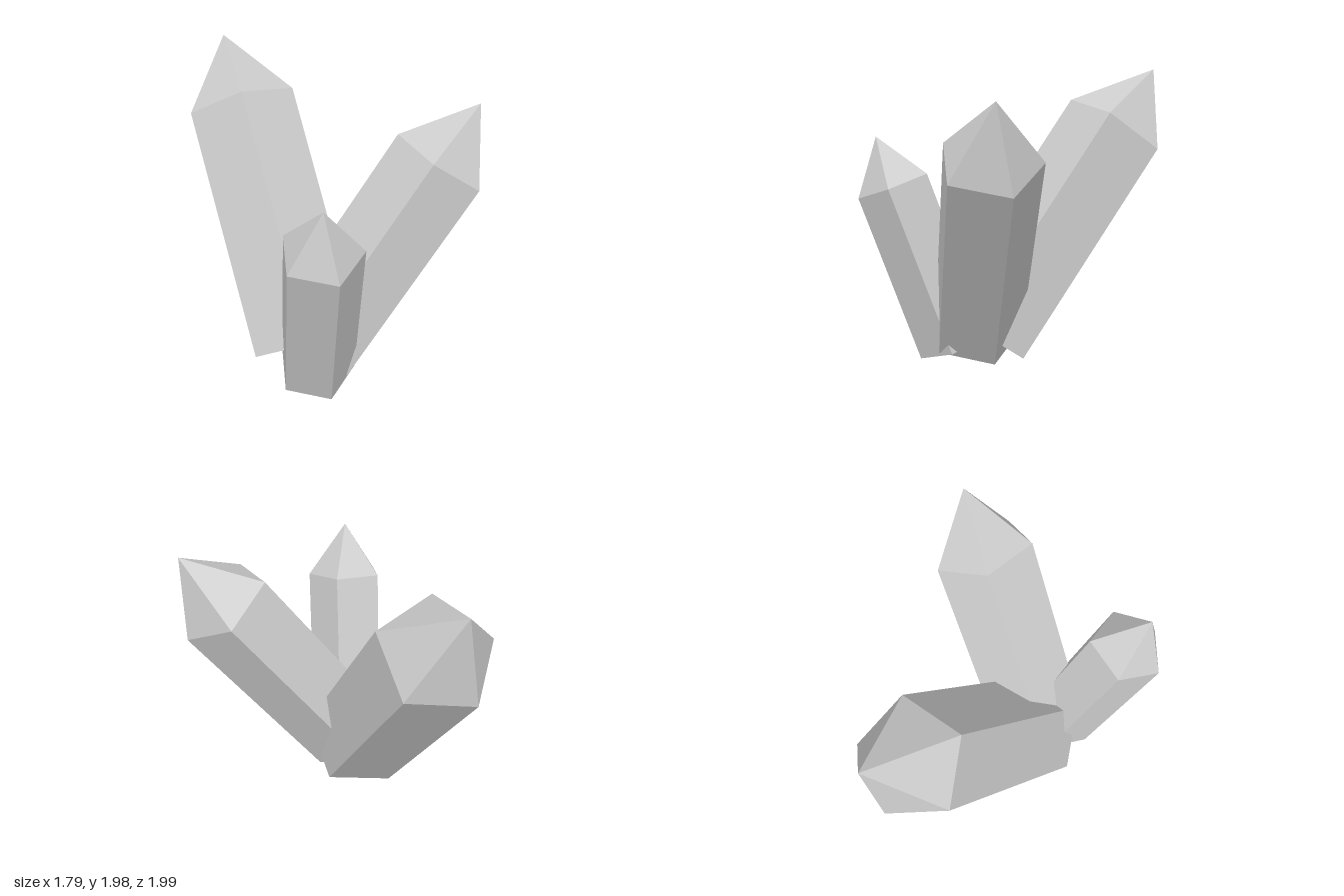
import * as THREE from 'three';

const material = new THREE.MeshStandardMaterial({ color: 0xcccccc, flatShading: true });

// Five-sided prism with a pointed cap, running from the base centre to the shoulder centre.
// corner is one shoulder vertex and fixes the twist around the axis.
function crystal(name, { base, shoulder, corner, radius, tip }) {
  const start = new THREE.Vector3(...base);
  const end = new THREE.Vector3(...shoulder);
  const length = start.distanceTo(end);
  const profile = [[0, 0], [radius, 0], [radius, length], [0, length + tip]]
    .map(([r, y]) => new THREE.Vector2(r, y));
  const mesh = new THREE.Mesh(new THREE.LatheGeometry(profile, 5), material);

  // The first profile copy lies on local +z, so aim that at the corner
  const axis = end.clone().sub(start).normalize();
  const out = new THREE.Vector3(...corner).sub(end).projectOnPlane(axis).normalize();
  const side = new THREE.Vector3().crossVectors(axis, out);
  mesh.quaternion.setFromRotationMatrix(new THREE.Matrix4().makeBasis(side, axis, out));
  mesh.position.copy(start);
  mesh.name = name;
  return mesh;
}

export function createModel() {
  const group = new THREE.Group();
  group.name = 'crystalCluster';
  group.add(
    // Large crystal leaning back
    crystal('backCrystal', {
      base: [-0.221, 0.212, 0.171], shoulder: [-0.551, 1.582, -0.729],
      corner: [-0.56, 1.78, -0.42], radius: 0.368, tip: 0.5,
    }),
    // Medium crystal leaning to the left side
    crystal('sideCrystal', {
      base: [-0.182, 0.238, 0.228], shoulder: [0.648, 1.448, 0.088],
      corner: [0.38, 1.62, 0.03], radius: 0.322, tip: 0.437,
    }),
    // Small crystal leaning forward
    crystal('frontCrystal', {
      base: [-0.181, 0.138, 0.366], shoulder: [-0.181, 1.228, 0.766],
      corner: [0.075, 1.23, 0.77], radius: 0.256, tip: 0.342,
    }),
  );
  return group;
}
